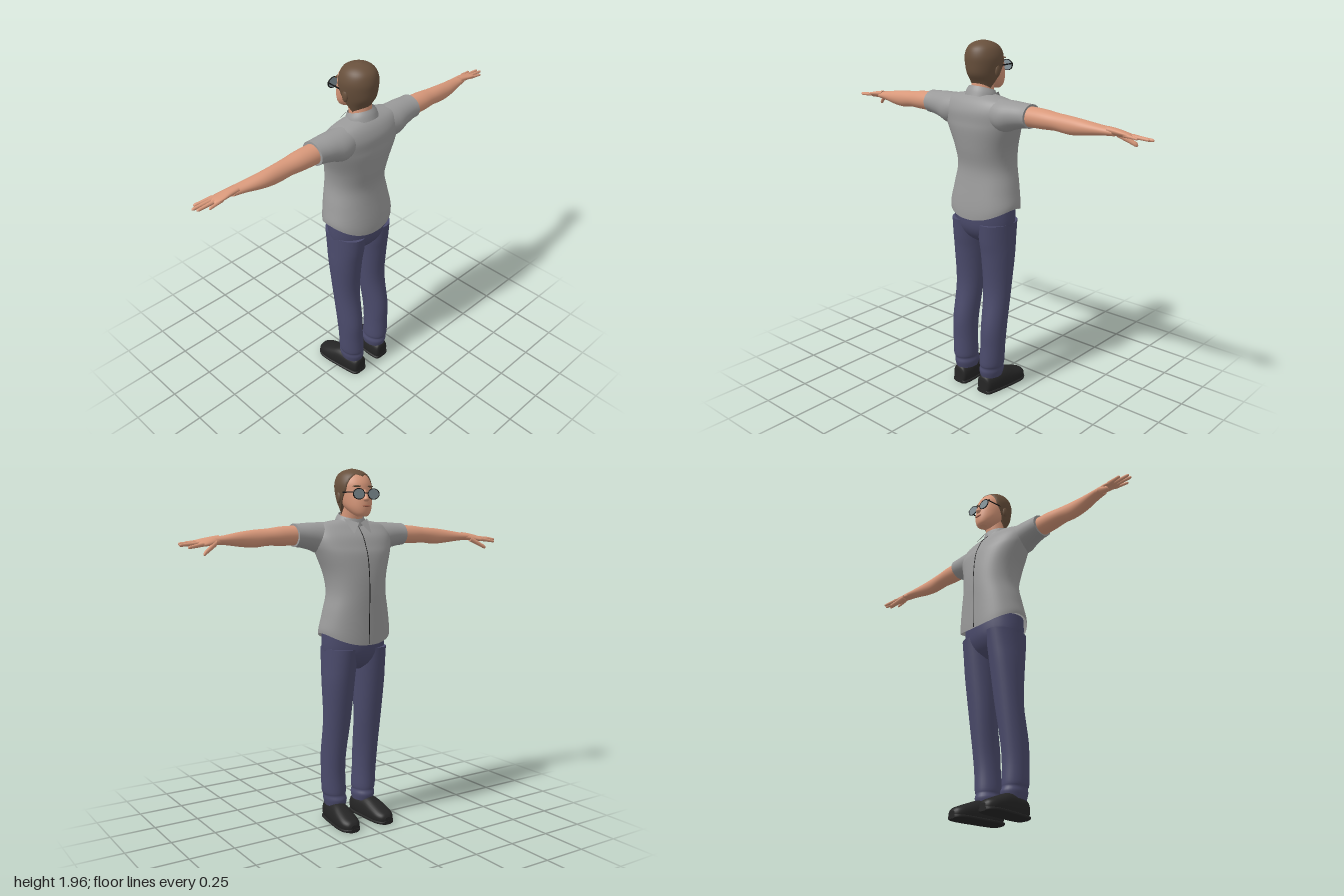
import * as THREE from 'three';

const paint = (name, color, side = THREE.FrontSide) => {
  const m = new THREE.MeshStandardMaterial({ color, side });
  m.name = name;
  return m;
};

// Catmull-Rom blend of rows of numbers
function refine(keys, steps) {
  const rows = [];
  for (let i = 0; i < keys.length - 1; i++) {
    const p = [keys[Math.max(i - 1, 0)], keys[i], keys[i + 1], keys[Math.min(i + 2, keys.length - 1)]];
    for (let s = 0; s < steps; s++) {
      const t = s / steps;
      rows.push(keys[i].map((_, k) => {
        const [a, b, c, d] = p.map((r) => r[k]);
        return 0.5 * (2 * b + (c - a) * t + (2 * a - 5 * b + 4 * c - d) * t * t + (3 * b - a - 3 * c + d) * t ** 3);
      }));
    }
  }
  rows.push(keys[keys.length - 1]);
  return rows;
}

// Skin oval sections: key = [t, centreA, centreB, radiusA, radiusB]; map places (t, a, b) in space
function loft(keys, map, { n = 32, steps = 4, power = 1, caps = true } = {}) {
  const pos = [], idx = [], rows = refine(keys, steps);
  const bend = (v) => Math.sign(v) * Math.abs(v) ** power;
  const ring = ([t, ca, cb, ra, rb]) => {
    for (let j = 0; j < n; j++) {
      const q = (j / n) * Math.PI * 2;
      pos.push(...map(t, ca + ra * bend(Math.cos(q)), cb + rb * bend(Math.sin(q))));
    }
  };
  rows.forEach(ring);
  for (let i = 0; i < rows.length - 1; i++) {
    for (let j = 0; j < n; j++) {
      const a = i * n + j, b = i * n + ((j + 1) % n);
      idx.push(a, b, b + n, a, b + n, a + n);
    }
  }
  if (caps) {
    [rows[0], rows[rows.length - 1]].forEach((r, end) => {
      const base = pos.length / 3;
      ring(r);
      pos.push(...map(r[0], r[1], r[2]));
      for (let j = 0; j < n; j++) {
        const a = base + j, b = base + ((j + 1) % n);
        if (end) idx.push(a, b, base + n); else idx.push(b, a, base + n);
      }
    });
  }
  const g = new THREE.BufferGeometry();
  g.setAttribute('position', new THREE.Float32BufferAttribute(pos, 3));
  g.setIndex(idx);
  g.computeVertexNormals();
  return g;
}

function mirrored(geo) {
  const g = geo.clone().scale(-1, 1, 1);
  const ix = g.index.array;
  for (let i = 0; i < ix.length; i += 3) [ix[i], ix[i + 1]] = [ix[i + 1], ix[i]];
  g.computeVertexNormals();
  return g;
}

const upward = (y, z, x) => [x, y, z];
const sideways = (x, y, z) => [x, y, z];
const forward = (t, y, x) => [x, y, -t];

export function createModel() {
  const root = new THREE.Group();
  const skin = paint('skin', 0xd8987a), hair = paint('hair', 0x68503c);
  const shirt = paint('shirt grey', 0x9a9a9a, THREE.DoubleSide), denim = paint('trouser blue', 0x4b4b6c);
  const shoe = paint('shoe black', 0x252525), frame = paint('frame black', 0x151515);
  const lens = paint('lens grey', 0x87969c, THREE.DoubleSide), lip = paint('lip', 0xa86650);
  const add = (name, geo, mat) => {
    const m = new THREE.Mesh(geo, mat);
    m.name = name;
    root.add(m);
    return m;
  };
  const pair = (name, geo, mat) => {
    add(name + 'Left', geo, mat);
    add(name + 'Right', mirrored(geo), mat);
  };

  // Shirt body with a curved shirt-tail hem
  const torso = [
    [1.06, 0.012, 0, 0.15, 0.205], [1.1, 0.01, 0, 0.15, 0.204], [1.2, 0, 0, 0.142, 0.187],
    [1.3, -0.006, 0, 0.138, 0.167], [1.4, 0.005, 0, 0.145, 0.177], [1.5, 0.02, 0, 0.145, 0.213],
    [1.55, 0.03, 0, 0.135, 0.232], [1.6, 0.042, 0, 0.122, 0.24], [1.64, 0.052, 0, 0.098, 0.23],
    [1.668, 0.055, 0, 0.075, 0.19], [1.688, 0.055, 0, 0.05, 0.09]];
  const hemmed = (y, z, x) => {
    const w = THREE.MathUtils.clamp((1.16 - y) / 0.1, 0, 1);
    return [x, y + w * (0.026 - 0.062 * ((z - 0.012) / 0.15) ** 2), z];
  };
  add('shirtBody', loft(torso, hemmed, { n: 48, power: 0.9, caps: false }), shirt);
  pair('sleeve', loft([
    [0.08, 1.605, 0.06, 0.075, 0.075], [0.18, 1.592, 0.064, 0.084, 0.086], [0.25, 1.602, 0.061, 0.072, 0.078],
    [0.31, 1.607, 0.059, 0.063, 0.071], [0.345, 1.608, 0.059, 0.061, 0.07]], sideways), shirt);

  // Button line down the front
  const line = torso.slice(0, 10).map(([y, c, , r], i) => new THREE.Vector3(0, i ? y : 1.03, c - r));
  add('buttonLine', new THREE.TubeGeometry(new THREE.CatmullRomCurve3(line), 50, 0.0025, 6), frame);

  // Collar band and its folded points
  add('collar', loft([[1.66, 0.045, 0, 0.082, 0.09], [1.69, 0.042, 0, 0.075, 0.083], [1.715, 0.038, 0, 0.066, 0.07]],
    (y, z, x) => [x, y + 0.3 * (z - 0.045), z], { caps: false }), shirt);
  const flap = new THREE.BufferGeometry();
  flap.setAttribute('position', new THREE.Float32BufferAttribute(
    [0.005, 1.672, -0.047, 0.075, 1.695, -0.005, 0.055, 1.615, -0.078], 3));
  flap.setIndex([0, 1, 2]);
  flap.computeVertexNormals();
  pair('collarPoint', flap, shirt);

  // Trousers
  add('trouserSeat', loft([
    [0.88, 0.02, 0, 0.05, 0.07], [0.91, 0.02, 0, 0.09, 0.14], [0.95, 0.02, 0, 0.118, 0.174],
    [1.0, 0.019, 0, 0.132, 0.186], [1.09, 0.018, 0, 0.136, 0.187]], upward), denim);
  pair('trouserLeg', loft([
    [0.095, 0.066, 0.093, 0.07, 0.056], [0.13, 0.066, 0.094, 0.079, 0.063], [0.155, 0.068, 0.097, 0.073, 0.06],
    [0.18, 0.07, 0.099, 0.077, 0.066], [0.28, 0.068, 0.104, 0.075, 0.066], [0.4, 0.06, 0.106, 0.08, 0.068],
    [0.6, 0.029, 0.101, 0.078, 0.077], [0.8, 0.02, 0.099, 0.1, 0.087], [0.9, 0.02, 0.095, 0.115, 0.09],
    [1.0, 0.018, 0.092, 0.128, 0.092]], upward), denim);

  // Shoes with flat soles
  const last = [
    [-0.142, 0.045, 0.092, 0.035, 0.03], [-0.13, 0.05, 0.093, 0.055, 0.046], [-0.07, 0.05, 0.097, 0.066, 0.055],
    [0, 0.045, 0.104, 0.073, 0.057], [0.06, 0.04, 0.109, 0.058, 0.06], [0.12, 0.032, 0.112, 0.042, 0.057],
    [0.155, 0.028, 0.112, 0.03, 0.04], [0.168, 0.026, 0.112, 0.015, 0.02]];
  pair('shoe', loft(last, (t, y, x) => forward(t, Math.max(y, 0.005), x), { power: 0.85 }), shoe);
  pair('sole', loft(last.map(([t, , cx, , rx]) => [t * 1.012, 0.01, cx, 0.01, rx + 0.003]), forward, { power: 0.5 }), shoe);

  // Arms and hands
  pair('arm', loft([
    [0.3, 1.608, 0.062, 0.052, 0.055], [0.42, 1.605, 0.058, 0.05, 0.053], [0.5, 1.601, 0.055, 0.044, 0.046],
    [0.58, 1.594, 0.053, 0.045, 0.042], [0.66, 1.592, 0.047, 0.037, 0.04], [0.75, 1.59, 0.03, 0.024, 0.034],
    [0.81, 1.588, 0.02, 0.019, 0.031]], sideways), skin);
  const tilted = (x, y, z) => [x, y + 0.25 * (z - 0.012), z];
  pair('palm', loft([
    [0.78, 1.59, 0.024, 0.02, 0.03], [0.82, 1.587, 0.016, 0.019, 0.036], [0.865, 1.582, 0.011, 0.015, 0.044],
    [0.895, 1.579, 0.01, 0.011, 0.041], [0.908, 1.578, 0.01, 0.004, 0.03]], tilted, { n: 24 }), skin);
  const digit = (name, a, b, r) => pair(name, loft([0, 0.35, 0.7, 0.93, 1].map((f) => {
    const w = f === 1 ? 0.002 : r * (1 - 0.35 * f);
    return [...a.map((v, k) => v + (b[k] - v) * f), w, w];
  }), sideways, { n: 12, steps: 3 }), skin);
  digit('indexFinger', [0.88, 1.573, -0.022], [0.968, 1.559, -0.045], 0.011);
  digit('middleFinger', [0.88, 1.578, 0], [1.0, 1.57, -0.01], 0.011);
  digit('ringFinger', [0.88, 1.582, 0.022], [0.993, 1.576, 0.02], 0.0105);
  digit('littleFinger', [0.87, 1.586, 0.043], [0.95, 1.58, 0.052], 0.0095);
  digit('thumb', [0.81, 1.577, -0.005], [0.893, 1.525, -0.05], 0.016);

  // Neck and head
  add('neck', loft([[1.64, 0.05, 0, 0.06, 0.064], [1.7, 0.036, 0, 0.058, 0.06], [1.79, 0.025, 0, 0.06, 0.06]], upward), skin);
  add('head', loft([
    [1.705, -0.07, 0, 0.022, 0.025], [1.72, -0.057, 0, 0.047, 0.046], [1.75, -0.032, 0, 0.077, 0.067],
    [1.79, -0.001, 0, 0.106, 0.081], [1.84, 0.014, 0, 0.11, 0.089], [1.88, 0.02, 0, 0.108, 0.089],
    [1.92, 0.024, 0, 0.086, 0.074], [1.94, 0.026, 0, 0.056, 0.046], [1.949, 0.028, 0, 0.01, 0.01]], upward), skin);
  add('nose', loft([
    [1.782, -0.1, 0, 0.012, 0.01], [1.794, -0.105, 0, 0.02, 0.017], [1.81, -0.102, 0, 0.017, 0.012],
    [1.845, -0.09, 0, 0.01, 0.009]], upward, { n: 16 }), skin);
  const mouth = add('mouth', new THREE.SphereGeometry(1, 16, 8).scale(0.026, 0.005, 0.005), lip);
  mouth.position.set(0, 1.76, -0.111);

  // Hair cap, cut off behind the hairline
  const hairline = (y) => (y < 1.84 ? THREE.MathUtils.mapLinear(y, 1.72, 1.84, 0.04, -0.035) : -0.035 - (y - 1.84) * 0.2);
  add('hair', loft([
    [1.71, 0.028, 0, 0.046, 0.058], [1.75, 0.018, 0, 0.075, 0.075], [1.79, 0.012, 0, 0.107, 0.087],
    [1.84, 0.017, 0, 0.11, 0.096], [1.88, 0.021, 0, 0.107, 0.096], [1.92, 0.025, 0, 0.09, 0.081],
    [1.945, 0.028, 0, 0.055, 0.052], [1.957, 0.03, 0, 0.01, 0.01]],
  (y, z, x) => [x, y, Math.max(z, hairline(y) - 0.02 * Math.max(0, 1 - Math.abs(x) / 0.03))], { n: 48 }), hair);
  pair('hairOverEar', new THREE.SphereGeometry(1, 16, 12).scale(0.01, 0.03, 0.018).translate(0.091, 1.805, 0.02), hair);
  pair('eyebrow', new THREE.SphereGeometry(1, 12, 8).scale(0.024, 0.005, 0.006).rotateY(-0.3).translate(0.042, 1.862, -0.082), hair);

  // Glasses
  const oval = (g) => g.scale(1, 0.78, 1).translate(0.046, 1.822, -0.108);
  pair('lens', oval(new THREE.CylinderGeometry(0.035, 0.035, 0.003, 32).rotateX(Math.PI / 2)), lens);
  pair('lensRim', oval(new THREE.TorusGeometry(0.035, 0.003, 8, 32)), frame);
  pair('temple', new THREE.BoxGeometry(0.004, 0.006, 0.115).rotateY(0.06).translate(0.086, 1.831, -0.052), frame);
  add('bridge', new THREE.BoxGeometry(0.024, 0.005, 0.005), frame).position.set(0, 1.827, -0.11);

  return root;
}
